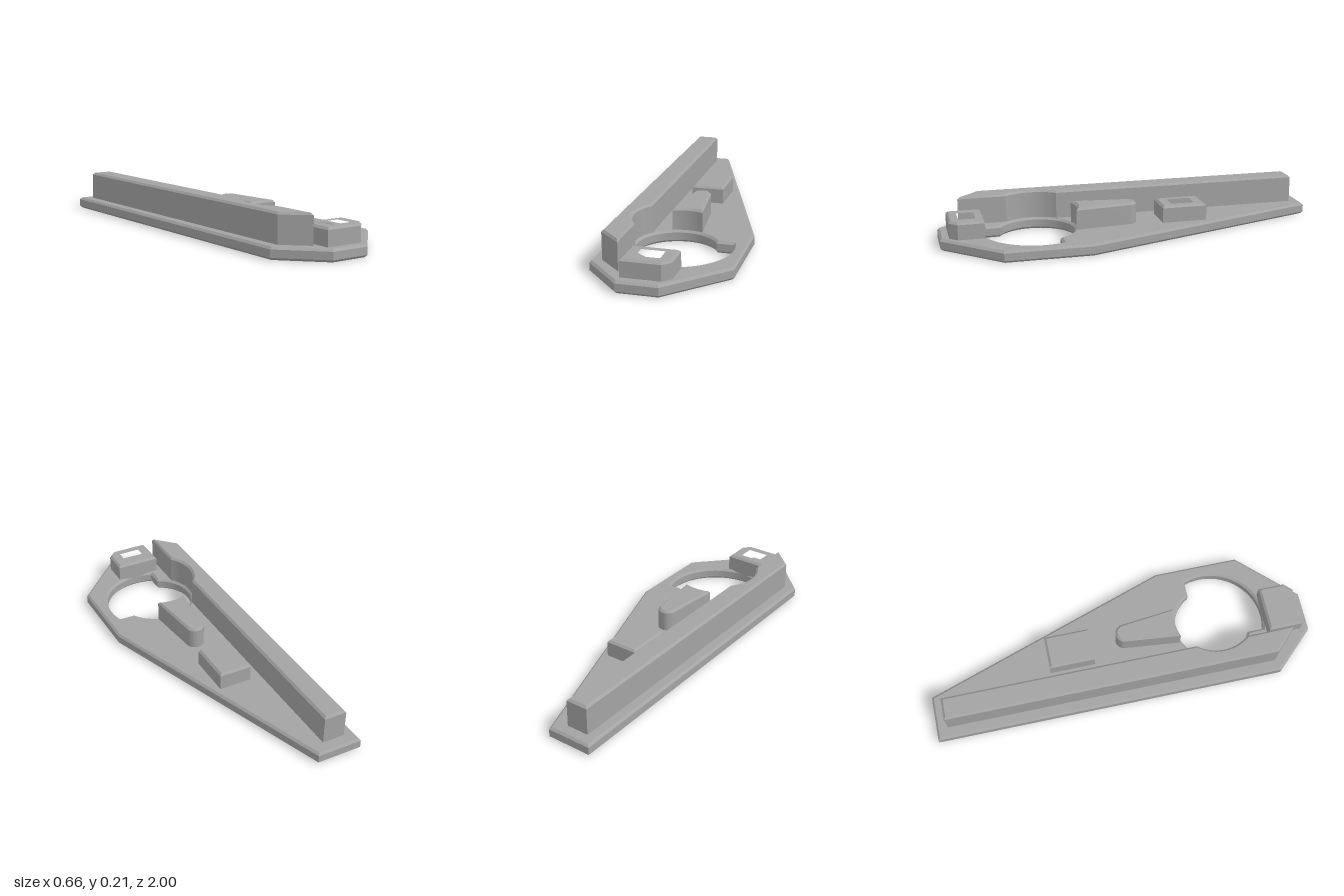
import * as THREE from 'three';
import { toCreasedNormals } from 'three/addons/utils/BufferGeometryUtils.js';

const CHAMFER = 0.011;
const HOLE_Z = 0.51;

// Points [x, z] on an arc; angles in degrees measured from +x towards +z
function arc(cx, cz, r, from, to, steps) {
  const pts = [];
  for (let i = 0; i <= steps; i++) {
    const a = THREE.MathUtils.degToRad(from + (to - from) * i / steps);
    pts.push([cx + r * Math.cos(a), cz + r * Math.sin(a)]);
  }
  return pts;
}

const rect = (x0, x1, z0, z1) => [[x0, z0], [x1, z0], [x1, z1], [x0, z1]];
const toVectors = (pts) => pts.map(([x, z]) => new THREE.Vector2(x, -z));

// Chamfered slab with a plan outline, standing between y0 and y1
function slab(name, material, outline, y0, y1, hole) {
  const shape = new THREE.Shape(toVectors(outline));
  if (hole) shape.holes.push(new THREE.Path(toVectors(hole)));
  const geometry = new THREE.ExtrudeGeometry(shape, {
    depth: y1 - y0 - 2 * CHAMFER,
    bevelEnabled: true,
    bevelThickness: CHAMFER,
    bevelSize: CHAMFER,
    bevelOffset: -CHAMFER,
    bevelSegments: 1,
  });
  geometry.rotateX(-Math.PI / 2);
  geometry.translate(0, y0 + CHAMFER, 0);
  const mesh = new THREE.Mesh(toCreasedNormals(geometry, 0.4), material);
  mesh.name = name;
  return mesh;
}

export function createModel() {
  const group = new THREE.Group();
  group.name = 'mountingPlate';
  const grey = new THREE.MeshStandardMaterial({ color: 0xa3a3a3 });
  grey.name = 'grey';

  // Tapered base plate with a round opening widened on one side
  const plate = [
    [-0.33, -1], [-0.1, -1], [0.33, 0.28], [0.33, 0.72],
    [0.06, 1], [-0.14, 1], [-0.33, 0.8],
  ];
  const opening = [
    ...arc(0, HOLE_Z, 0.195, -27.5, -242.5, 48),
    ...arc(0, HOLE_Z, 0.27, 109.4, -19.4, 32),
  ];
  group.add(slab('basePlate', grey, plate, 0, 0.06, opening));

  // Long rail, scooped out beside the opening
  const rail = [
    [-0.275, -0.94], [-0.16, -0.94],
    ...arc(0, HOLE_Z, 0.207, -140.7, -219.3, 16),
    [-0.16, 0.89], [-0.275, 0.78],
  ];
  group.add(slab('rail', grey, rail, 0.03, 0.207));

  // Tapered fin with a rounded tip, ending on the opening
  const fin = [
    ...arc(0, 0.036, 0.047, -175, -5, 16),
    ...arc(0, HOLE_Z, 0.207, -68.5, -111.5, 10),
  ];
  group.add(slab('fin', grey, fin, 0.03, 0.172));

  // Open sockets
  group.add(slab('backSocket', grey, rect(-0.1, 0.07, -0.375, -0.14), 0.03, 0.148,
    rect(-0.07, 0.04, -0.33, -0.185)));
  const frontSocket = [[-0.133, 0.78], [0.1, 0.78], [0.1, 0.915], [0.06, 0.955], [-0.133, 0.955]];
  group.add(slab('frontSocket', grey, frontSocket, 0.03, 0.148,
    rect(-0.085, 0.052, 0.81, 0.917)));

  return group;
}
